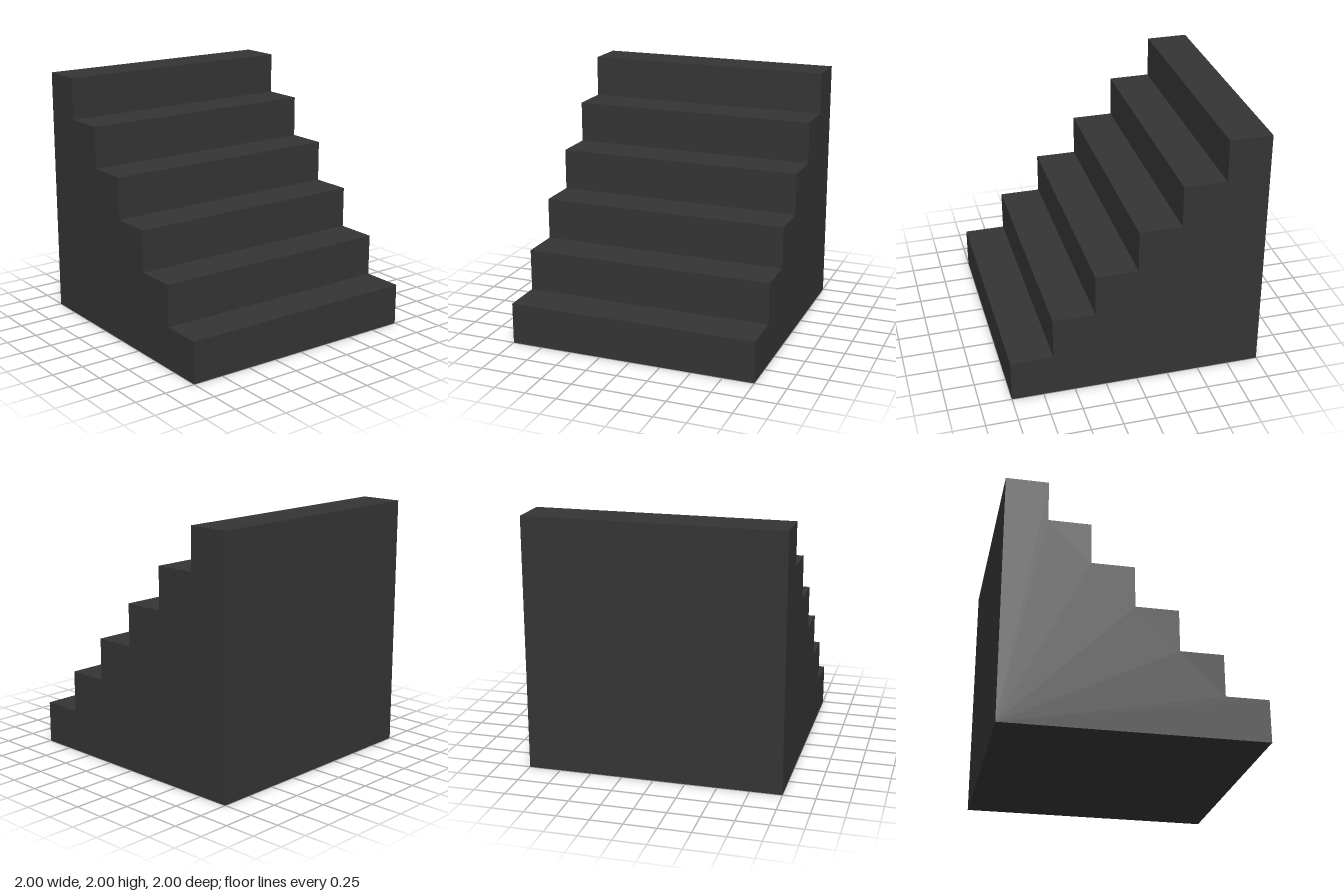
import * as THREE from 'three';

const STEPS = 6;
const SIZE = 2;

export function createModel() {
  const group = new THREE.Group();
  group.name = 'staircase';

  const charcoal = new THREE.MeshStandardMaterial({ color: 0x343434 });
  charcoal.name = 'charcoal';

  // Side profile: flat base and back, rising in equal steps from front to back
  const step = SIZE / STEPS;
  const profile = new THREE.Shape();
  profile.moveTo(1, 0);
  profile.lineTo(1, SIZE);
  for (let i = STEPS - 1; i >= 0; i--) {
    const front = -1 + i * step;
    profile.lineTo(front, (i + 1) * step); // tread
    profile.lineTo(front, i * step); // riser
  }
  profile.closePath();

  // Extrude across the width, then turn the low end towards +z
  const geometry = new THREE.ExtrudeGeometry(profile, { depth: SIZE, bevelEnabled: false });
  geometry.translate(0, 0, -SIZE / 2);
  geometry.rotateY(Math.PI / 2);

  const stairs = new THREE.Mesh(geometry, charcoal);
  stairs.name = 'solidSteps';
  group.add(stairs);
  return group;
}
